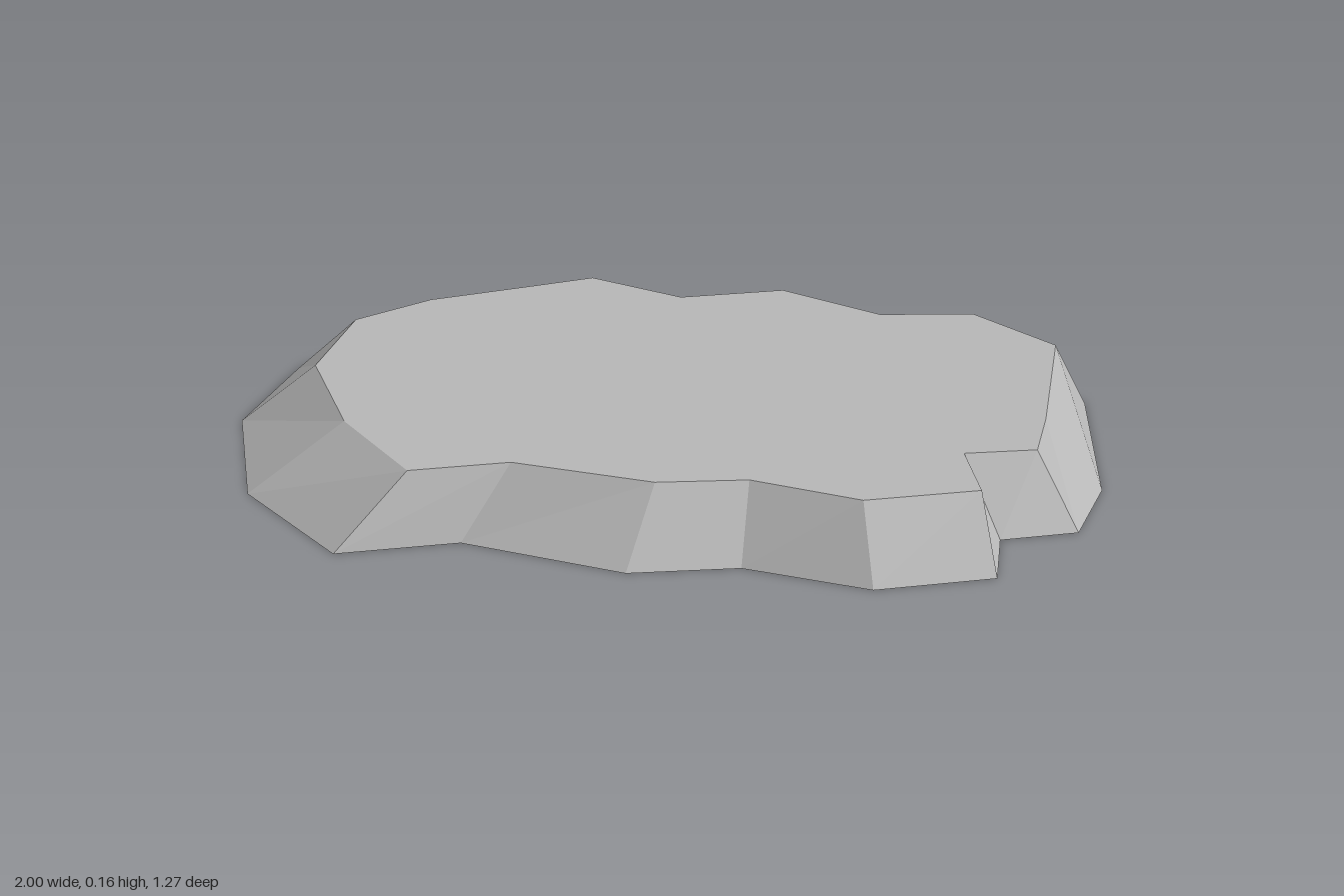
import * as THREE from 'three';

// Rim corners as [base x, base z, top x, top z], from the left round the back
const rim = [
  [-1.0, 0.055, -0.82, 0.025], [-0.955, -0.25, -0.80, -0.245],
  [-0.825, -0.42, -0.65, -0.39], [-0.545, -0.595, -0.43, -0.505],
  [-0.365, -0.64, -0.28, -0.585], [-0.09, -0.55, -0.04, -0.495],
  [0.185, -0.625, 0.205, -0.575], [0.495, -0.515, 0.455, -0.46],
  [0.74, -0.55, 0.68, -0.495], [0.96, -0.36, 0.88, -0.34],
  [1.0, 0.08, 0.865, 0.06], [0.95, 0.285, 0.85, 0.215],
  [0.785, 0.345, 0.695, 0.255], [0.785, 0.51, 0.74, 0.42],
  [0.535, 0.60, 0.50, 0.50], [0.255, 0.555, 0.255, 0.445],
  [0.02, 0.615, 0.06, 0.485], [-0.35, 0.545, -0.26, 0.44],
  [-0.605, 0.635, -0.47, 0.51], [-0.87, 0.405, -0.67, 0.30],
];

const base = ([x, z]) => [x, 0, z];
// The top tilts up slightly towards +x
const top = ([, , x, z]) => [x, 0.15 + 0.008 * x, z];

function facetedMesh(name, triangles, material) {
  const geometry = new THREE.BufferGeometry();
  geometry.setAttribute('position', new THREE.Float32BufferAttribute(triangles.flat(), 3));
  geometry.computeVertexNormals();
  const mesh = new THREE.Mesh(geometry, material);
  mesh.name = name;
  return mesh;
}

export function createModel() {
  const stone = new THREE.MeshStandardMaterial({ color: 0xb8b8b8 });
  stone.name = 'grey stone';

  const topFace = [], sides = [], underside = [];
  const topCentre = [0.04, 0.15, -0.07], baseCentre = [0.04, 0, -0.07];
  rim.forEach((a, i) => {
    const b = rim[(i + 1) % rim.length];
    topFace.push(topCentre, top(b), top(a));
    sides.push(base(b), base(a), top(a), base(b), top(a), top(b));
    underside.push(baseCentre, base(a), base(b));
  });

  const group = new THREE.Group();
  group.name = 'flatRock';
  group.add(
    facetedMesh('topFace', topFace, stone),
    facetedMesh('slopedSides', sides, stone),
    facetedMesh('underside', underside, stone),
  );
  return group;
}
